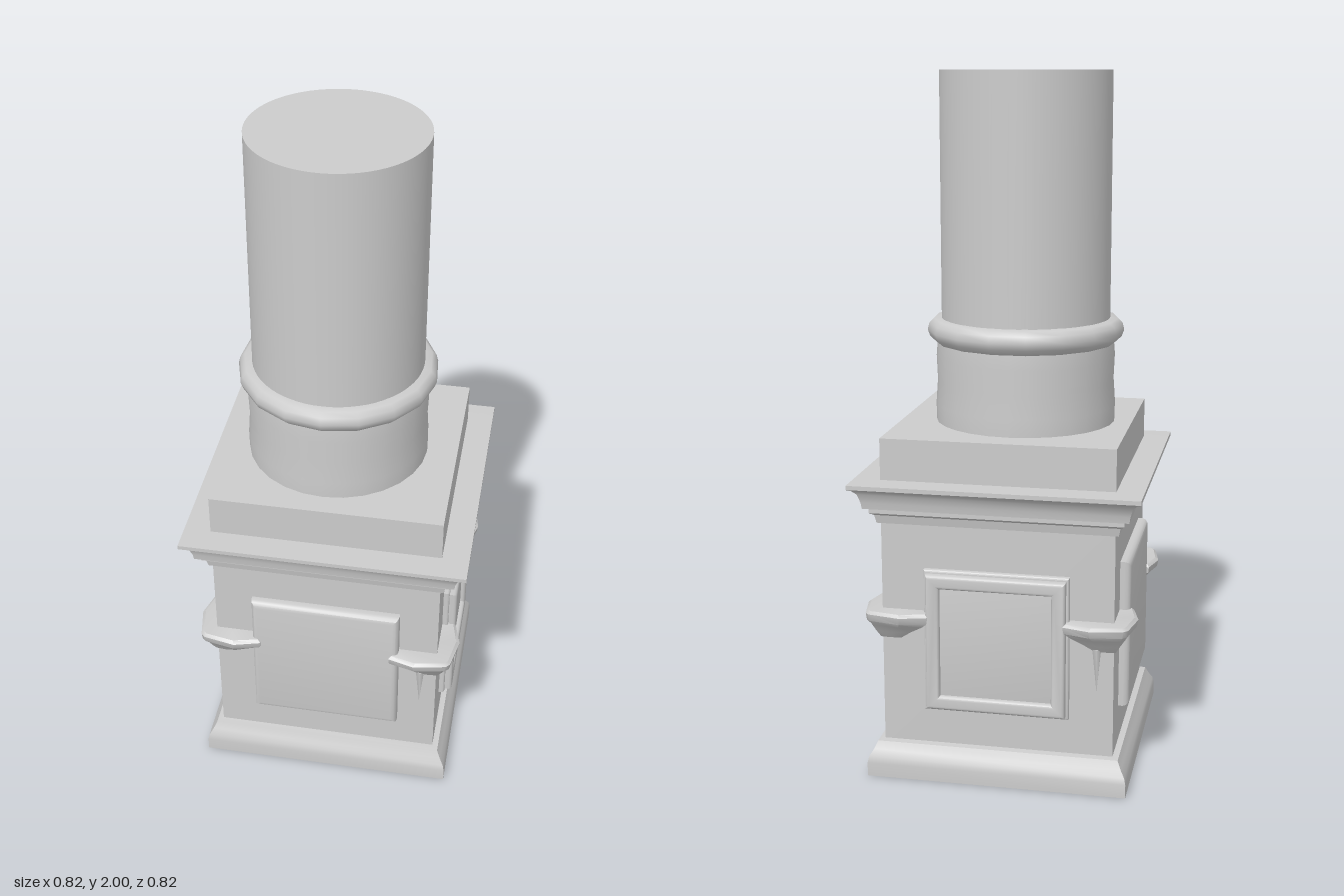
import * as THREE from 'three';
import { toCreasedNormals } from 'three/addons/utils/BufferGeometryUtils.js';

const material = new THREE.MeshStandardMaterial({ color: 0xcccccc });
const HALF = 0.333; // half width of the pedestal

function add(parent, name, geometry) {
  const mesh = new THREE.Mesh(geometry, material);
  mesh.name = name;
  parent.add(mesh);
  return mesh;
}

// Square block turned from a profile of [half width, y], bottom to top
function squareTurned(profile) {
  const pts = profile.map(([w, y]) => new THREE.Vector2(w * Math.SQRT2, y));
  const g = new THREE.LatheGeometry(pts, 4).rotateY(Math.PI / 4);
  return toCreasedNormals(g, 0.6);
}

function roundTurned(profile, sides) {
  return new THREE.LatheGeometry(profile.map(([r, y]) => new THREE.Vector2(r, y)), sides);
}

function rect(Type, hw, y0, y1) {
  return new Type([[-hw, y0], [hw, y0], [hw, y1], [-hw, y1]].map(([x, y]) => new THREE.Vector2(x, y)));
}

// Bevelled slab or frame whose outline is hw x (y0..y1), reaching out to z1
function slab(hw, y0, y1, z1, bevel, hole) {
  const shape = rect(THREE.Shape, hw - bevel, y0 + bevel, y1 - bevel);
  if (hole) shape.holes.push(rect(THREE.Path, hw - hole, y0 + hole, y1 - hole));
  const depth = z1 - bevel - 0.32;
  const g = new THREE.ExtrudeGeometry(shape, {
    depth, bevelEnabled: true, bevelThickness: bevel, bevelSize: bevel, bevelSegments: 3, curveSegments: 1,
  });
  return toCreasedNormals(g.translate(0, 0, 0.32), 0.6);
}

function plainPanel() {
  const group = new THREE.Group();
  group.name = 'plainPanel';
  add(group, 'raisedPanel', slab(0.22, 0.21, 0.645, 0.364, 0.018));
  return group;
}

function framedPanel() {
  const group = new THREE.Group();
  group.name = 'framedPanel';
  add(group, 'panelBacking', slab(0.208, 0.21, 0.63, 0.35, 0.006));
  add(group, 'panelFrame', slab(0.2, 0.22, 0.62, 0.372, 0.01, 0.03));
  add(group, 'panelField', slab(0.18, 0.24, 0.6, 0.357, 0.004));
  return group;
}

// Winged bracket wrapping a corner: stacked plan outlines that shrink downward
function cornerBracket() {
  const levels = [ // y, wing reach along the face, outward projection
    [0.418, 0.055, 0.008], [0.44, 0.085, 0.026], [0.46, 0.12, 0.04],
    [0.475, 0.138, 0.056], [0.495, 0.14, 0.06], [0.503, 0.132, 0.05],
  ];
  const positions = [], index = [];
  const n = 8;
  for (const [y, reach, out] of levels) {
    const tip = HALF - reach, mid = HALF - reach * 0.45, edge = HALF + out;
    const plan = [
      [tip, 0.32], [tip, HALF + out * 0.65], [mid, edge], [HALF + out * 0.5, HALF + out * 0.7],
      [HALF + out * 0.7, HALF + out * 0.5], [edge, mid], [HALF + out * 0.65, tip], [0.32, tip],
    ];
    for (const [x, z] of plan) positions.push(x, y, z);
  }
  for (let k = 0; k < levels.length - 1; k++) {
    for (let i = 0; i < n; i++) {
      const a = k * n + i, b = k * n + (i + 1) % n;
      index.push(a, b, a + n, b, b + n, a + n);
    }
  }
  const top = (levels.length - 1) * n;
  for (let i = 1; i < n - 1; i++) {
    index.push(top, top + i, top + i + 1, 0, i + 1, i);
  }
  const g = new THREE.BufferGeometry();
  g.setAttribute('position', new THREE.Float32BufferAttribute(positions, 3));
  g.setIndex(index);
  return toCreasedNormals(g, 0.7);
}

export function createModel() {
  const model = new THREE.Group();
  model.name = 'pedestalColumn';

  // Pedestal: base moulding, body, cornice and cap block
  add(model, 'baseMoulding', squareTurned([
    [0, 0], [0.376, 0], [0.376, 0.04], [0.372, 0.058], [0.36, 0.078], [0.35, 0.1], [0.33, 0.104],
  ]));
  add(model, 'pedestalBody', new THREE.BoxGeometry(HALF * 2, 0.7, HALF * 2).translate(0, 0.43, 0));
  add(model, 'cornice', squareTurned([
    [0.32, 0.758], [0.343, 0.758], [0.348, 0.782], [0.36, 0.79], [0.36, 0.803], [0.375, 0.806],
    [0.378, 0.825], [0.386, 0.85], [0.398, 0.862], [0.41, 0.868], [0.41, 0.88], [0, 0.883],
  ]));
  add(model, 'capBlock', new THREE.BoxGeometry(HALF * 2, 0.14, HALF * 2).translate(0, 0.93, 0));

  // Panels: plain on front and right, framed on left and back
  for (let i = 0; i < 4; i++) {
    const panel = i === 0 || i === 3 ? plainPanel() : framedPanel();
    panel.rotation.y = i * Math.PI / 2;
    model.add(panel);
  }

  // Brackets on the four corners, each with a small hanging drop
  const bracket = cornerBracket();
  const drop = new THREE.ConeGeometry(0.014, 0.13, 6).rotateX(Math.PI).translate(0.285, 0.36, HALF);
  for (let i = 0; i < 4; i++) {
    const corner = new THREE.Group();
    corner.name = 'cornerBracket';
    add(corner, 'wingedBracket', bracket);
    add(corner, 'hangingDrop', drop);
    corner.rotation.y = i * Math.PI / 2;
    model.add(corner);
  }

  // Column, set slightly off the pedestal's centre
  const column = new THREE.Group();
  column.name = 'column';
  column.position.set(-0.018, 0, 0.006);
  add(column, 'shaft', new THREE.CylinderGeometry(0.245, 0.245, 1.02, 64).translate(0, 1.49, 0));
  add(column, 'drum', roundTurned([[0.262, 0.99], [0.263, 1.05], [0.258, 1.12], [0.261, 1.19], [0.256, 1.25]], 28));
  add(column, 'collarRing', roundTurned([
    [0.245, 1.228], [0.262, 1.232], [0.279, 1.248], [0.286, 1.267], [0.281, 1.287], [0.268, 1.3], [0.243, 1.303],
  ], 17));
  model.add(column);

  return model;
}
